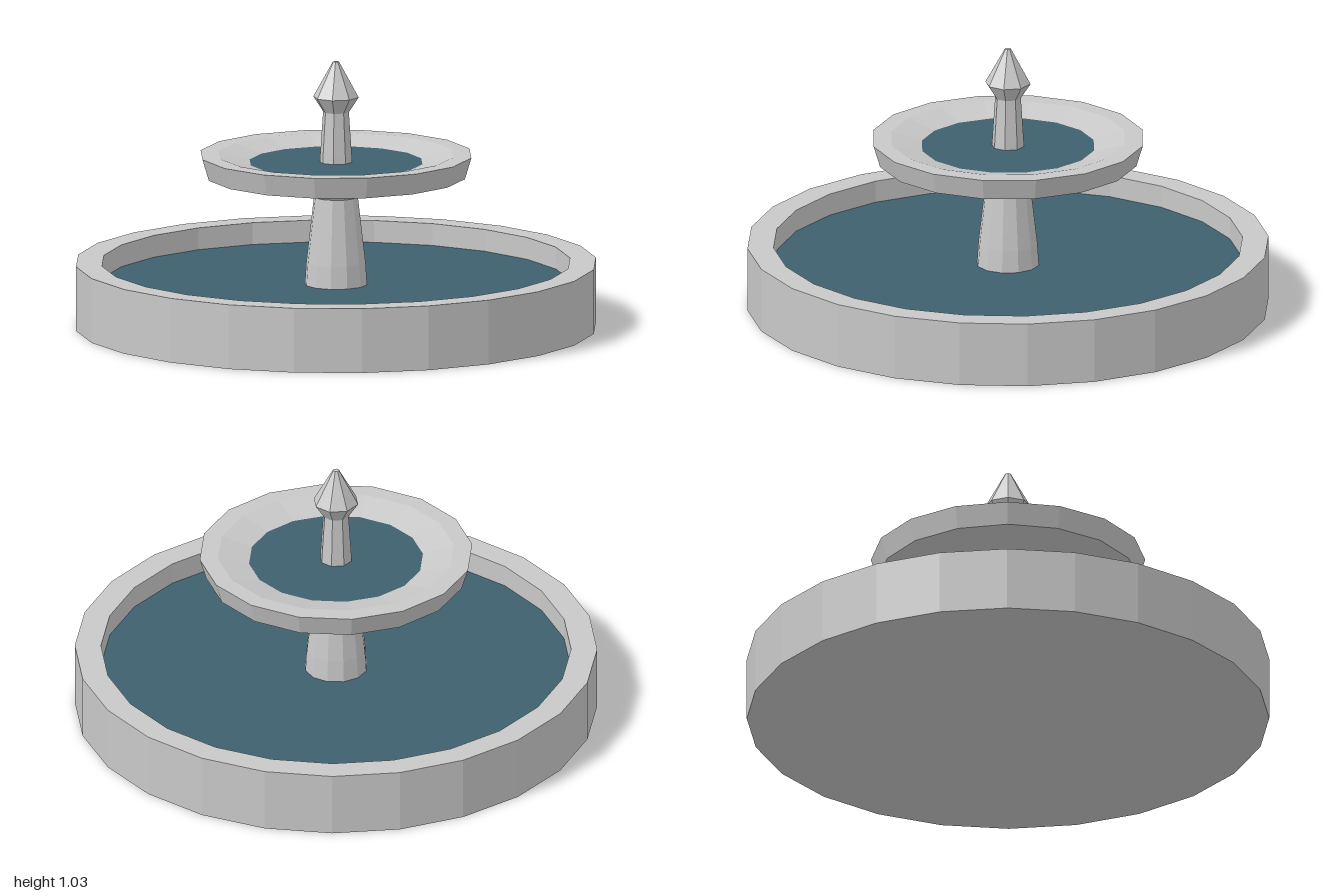
import * as THREE from 'three';

export function createModel() {
  const fountain = new THREE.Group();
  fountain.name = 'fountain';

  const stone = new THREE.MeshStandardMaterial({ color: 0xc8c8c8 });
  stone.name = 'stone';
  const water = new THREE.MeshStandardMaterial({ color: 0x3f606e });
  water.name = 'water';

  // Faceted turned part from [radius, height] points, outside from bottom to top
  function turned(name, sides, profile) {
    const points = profile.map(([r, y]) => new THREE.Vector2(r, y));
    const geometry = new THREE.LatheGeometry(points, sides).toNonIndexed();
    geometry.computeVertexNormals();
    const mesh = new THREE.Mesh(geometry, stone);
    mesh.name = name;
    fountain.add(mesh);
  }

  // Flat water surface
  function pool(name, sides, radius, y) {
    const mesh = new THREE.Mesh(new THREE.CircleGeometry(radius, sides).rotateX(-Math.PI / 2), water);
    mesh.name = name;
    mesh.position.y = y;
    fountain.add(mesh);
  }

  // Large basin with a straight wall and a floor below the water
  turned('basin', 24, [[0, 0], [1, 0], [1, 0.25], [0.9, 0.25], [0.9, 0.1], [0, 0.1]]);
  pool('basinWater', 24, 0.9, 0.165);

  // Tapered column, flared where it meets the bowl
  turned('column', 12, [[0.125, 0.1], [0.115, 0.25], [0.085, 0.505], [0.11, 0.535]]);

  // Shallow upper bowl
  turned('bowl', 16, [
    [0, 0.53], [0.1, 0.53], [0.5, 0.587], [0.525, 0.67],
    [0.455, 0.67], [0.335, 0.64], [0.2, 0.61], [0, 0.61],
  ]);
  pool('bowlWater', 16, 0.337, 0.64);

  // Pointed finial on a slim post
  turned('finial', 8, [
    [0.064, 0.61], [0.061, 0.67], [0.05, 0.835], [0.088, 0.893], [0.012, 1.03], [0, 1.03],
  ]);

  return fountain;
}
